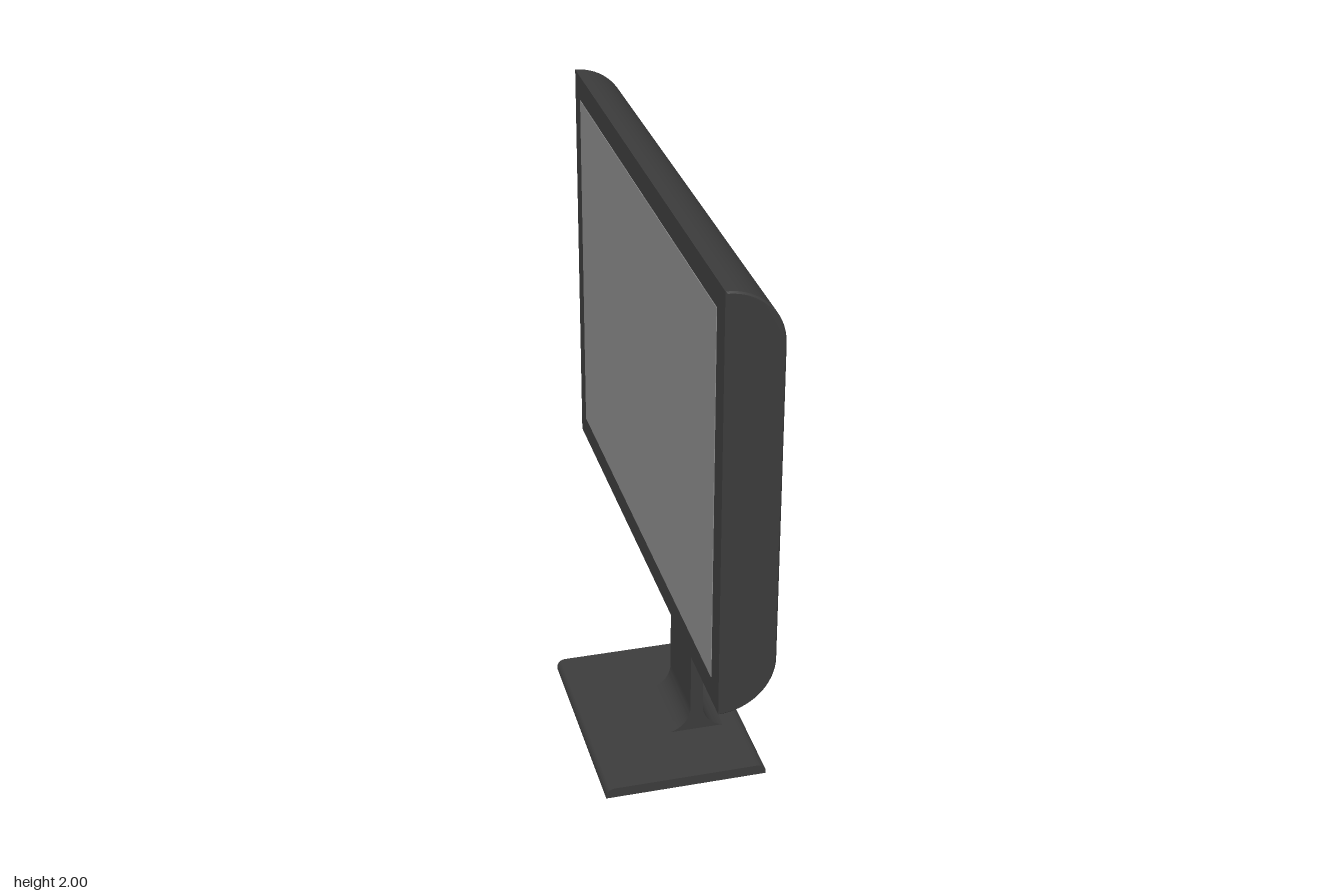
import * as THREE from 'three';
import { toCreasedNormals } from 'three/addons/utils/BufferGeometryUtils.js';

const dark = new THREE.MeshStandardMaterial({ color: 0x3c3c3c });
const glass = new THREE.MeshStandardMaterial({ color: 0x8a8a8a });

// Extrudes a shape centred along its depth, keeping curves smooth and edges sharp
function extrude(shape, depth, bevel = 0) {
  const g = new THREE.ExtrudeGeometry(shape, {
    depth: depth - 2 * bevel, curveSegments: 16,
    bevelEnabled: bevel > 0, bevelThickness: bevel, bevelSize: bevel, bevelOffset: -bevel, bevelSegments: 1,
  });
  g.translate(0, 0, bevel - depth / 2);
  return toCreasedNormals(g, 0.5);
}

function add(group, name, geometry, material = dark) {
  const mesh = new THREE.Mesh(geometry, material);
  mesh.name = name;
  group.add(mesh);
  return mesh;
}

export function createModel() {
  const model = new THREE.Group();
  model.name = 'monitor';

  // Housing: flat screen side at -x, rounded top and bottom at the back
  const body = new THREE.Shape();
  body.moveTo(-0.05, 0.66);
  body.bezierCurveTo(0.045, 0.66, 0.12, 0.735, 0.12, 0.83);
  body.lineTo(0.12, 1.83);
  body.bezierCurveTo(0.12, 1.925, 0.045, 2, -0.05, 2);
  body.closePath();
  add(model, 'housing', extrude(body, 1.79, 0.005));

  // Display panel, just proud of the bezel
  add(model, 'screen', new THREE.BoxGeometry(0.01, 1.18, 1.63), glass).position.set(-0.047, 1.33, 0);

  // Upper neck: plate that flares into a wide bracket against the housing
  const plate = new THREE.Shape();
  plate.moveTo(-0.13, 0.4);
  plate.lineTo(0.13, 0.4);
  plate.bezierCurveTo(0.13, 0.48, 0.165, 0.53, 0.215, 0.557);
  plate.bezierCurveTo(0.265, 0.58, 0.308, 0.605, 0.308, 0.67);
  plate.lineTo(0.305, 0.82);
  plate.lineTo(-0.305, 0.82);
  plate.lineTo(-0.308, 0.67);
  plate.bezierCurveTo(-0.308, 0.605, -0.265, 0.58, -0.215, 0.557);
  plate.bezierCurveTo(-0.165, 0.53, -0.13, 0.48, -0.13, 0.4);
  const plateGeometry = extrude(plate, 0.042);
  plateGeometry.rotateY(Math.PI / 2);
  add(model, 'neckBracket', plateGeometry).position.x = 0.1;

  // Lower neck: sweeps out into the foot on both sides
  const stem = new THREE.Shape();
  stem.moveTo(0.0, 0.033);
  stem.lineTo(0.2, 0.033);
  stem.bezierCurveTo(0.155, 0.04, 0.121, 0.075, 0.121, 0.125);
  stem.lineTo(0.121, 0.4);
  stem.lineTo(0.079, 0.4);
  stem.lineTo(0.079, 0.125);
  stem.bezierCurveTo(0.079, 0.075, 0.045, 0.04, 0.0, 0.033);
  add(model, 'neckStem', extrude(stem, 0.26));

  // Base plate with rounded upper edges at both x ends
  const foot = new THREE.Shape();
  foot.moveTo(-0.268, 0.01);
  foot.lineTo(0.268, 0.01);
  foot.quadraticCurveTo(0.264, 0.035, 0.235, 0.035);
  foot.lineTo(-0.235, 0.035);
  foot.quadraticCurveTo(-0.264, 0.035, -0.268, 0.01);
  add(model, 'basePlate', extrude(foot, 0.75));

  // Rim around the shallow recess under the base
  const rectangle = (path, w, h) => {
    path.moveTo(-w, -h);
    path.lineTo(w, -h);
    path.lineTo(w, h);
    path.lineTo(-w, h);
    path.closePath();
    return path;
  };
  const rim = rectangle(new THREE.Shape(), 0.268, 0.375);
  rim.holes.push(rectangle(new THREE.Path(), 0.24, 0.35));
  const rimGeometry = extrude(rim, 0.01);
  rimGeometry.rotateX(-Math.PI / 2);
  add(model, 'baseRim', rimGeometry).position.y = 0.005;

  return model;
}
